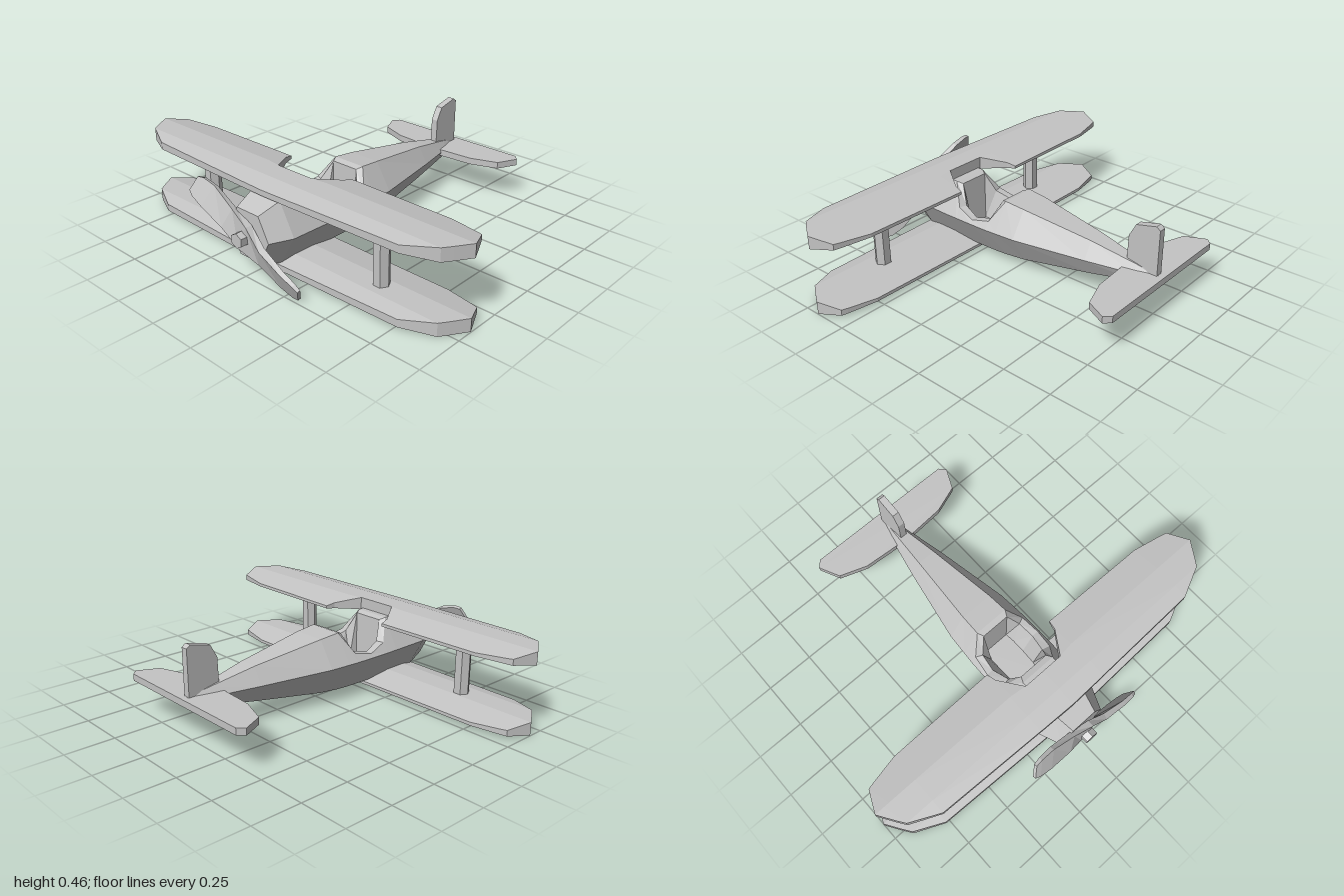
import * as THREE from 'three';

const grey = new THREE.MeshStandardMaterial({ color: 0xc4c4c4 });
grey.name = 'plain grey';

// Flat-shaded skin through closed loops of [x, y, z]; skip(k, i) leaves a face open
function loft(loops, { start = true, end = true, skip = () => false } = {}) {
  const out = [];
  const tri = (a, b, c) => out.push(...a, ...b, ...c);
  const n = loops[0].length;
  for (let k = 0; k < loops.length - 1; k++) {
    for (let i = 0; i < n; i++) {
      if (skip(k, i)) continue;
      const j = (i + 1) % n, p = loops[k], q = loops[k + 1];
      tri(p[i], p[j], q[j]);
      tri(p[i], q[j], q[i]);
    }
  }
  const last = loops[loops.length - 1];
  for (let i = 1; i < n - 1; i++) {
    if (start) tri(loops[0][0], loops[0][i + 1], loops[0][i]);
    if (end) tri(last[0], last[i], last[i + 1]);
  }
  const g = new THREE.BufferGeometry();
  g.setAttribute('position', new THREE.Float32BufferAttribute(out, 3));
  g.computeVertexNormals();
  return g;
}

function flat(geometry) {
  const g = geometry.toNonIndexed();
  g.computeVertexNormals();
  return g;
}

function part(name, geometry) {
  const m = new THREE.Mesh(geometry, grey);
  m.name = name;
  return m;
}

function plate(points, depth) {
  const shape = new THREE.Shape(points.map(([x, y]) => new THREE.Vector2(x, y)));
  return new THREE.ExtrudeGeometry(shape, { depth, bevelEnabled: false }).translate(0, 0, -depth / 2);
}

// Piecewise-linear lookup in [[z, y], ...] sorted by rising z
function lookup(table, z) {
  for (let i = 1; i < table.length; i++) {
    const [z0, y0] = table[i - 1], [z1, y1] = table[i];
    if (z <= z1 || i === table.length - 1) return y0 + (y1 - y0) * (z - z0) / (z1 - z0);
  }
}

// Wing: stations are [x, trailing z, leading z] for one half
function wing(stations) {
  const top = [[0.26, 0.377], [0.42, 0.41], [0.54, 0.41], [0.64, 0.388]];
  const bottom = [[0.26, 0.363], [0.42, 0.345], [0.54, 0.345], [0.64, 0.362]];
  const all = [...stations.map(([x, t, l]) => [-x, t, l]).reverse(), ...stations];
  const loops = all.map(([x, trail, lead]) => {
    const zs = [trail, 0.42, 0.54, lead].map(z => THREE.MathUtils.clamp(z, trail, lead));
    return [
      ...zs.map(z => [x, lookup(top, z), z]),
      ...zs.reverse().map(z => [x, lookup(bottom, z), z]),
    ];
  });
  return loft(loops, { start: false, end: false });
}

export function createModel() {
  const model = new THREE.Group();
  model.name = 'biplane';

  // Six-sided fuselage, tail to nose: z, bottom y, middle half-width, top half-width, top y
  const hull = [
    [-0.77, 0.185, 0.012, 0.008, 0.215],
    [-0.66, 0.15, 0.045, 0.023, 0.24],
    [-0.42, 0.11, 0.097, 0.048, 0.285],
    [-0.04, 0.055, 0.168, 0.085, 0.335],
    [0.07, 0.045, 0.176, 0.09, 0.345],
    [0.13, 0.042, 0.18, 0.155, 0.24],
    [0.23, 0.04, 0.182, 0.168, 0.22],
    [0.33, 0.04, 0.182, 0.152, 0.25],
    [0.4, 0.04, 0.182, 0.095, 0.355],
    [0.61, 0.045, 0.176, 0.092, 0.357],
    [0.72, 0.08, 0.13, 0.07, 0.315],
  ];
  const hullLoops = hull.map(([z, yb, w, t, yt]) => {
    const b = Math.min(w * 0.5, 0.09);
    return [[-b, yb, z], [b, yb, z], [w, 0.2, z], [t, yt, z], [-t, yt, z], [-w, 0.2, z]];
  });
  const cockpitSpan = k => k >= 4 && k < 8;
  model.add(part('fuselage', loft(hullLoops, { skip: (k, i) => i === 3 && cockpitSpan(k) })));

  // Cockpit: rim, sloping walls and floor
  const ring = half => [...half, ...half.map(([x, y, z]) => [-x, y, z]).reverse()];
  const outer = hull.slice(4, 9).reverse().map(([z, , , t, y]) => [t, y, z]);
  const inner = [[0.08, 0.345, 0.37], [0.112, 0.25, 0.32], [0.132, 0.22, 0.23], [0.122, 0.24, 0.145], [0.075, 0.335, 0.1]];
  const floor = [[0.065, 0.1, 0.355], [0.072, 0.1, 0.31], [0.075, 0.1, 0.23], [0.075, 0.1, 0.16], [0.07, 0.1, 0.11]];
  model.add(part('cockpit', loft([outer, inner, floor].map(ring), { start: false })));

  // Wings, the upper one notched above the cockpit
  const tip = [[0.77, 0.27, 0.61], [0.92, 0.302, 0.54], [0.95, 0.31, 0.497], [1, 0.42, 0.42]];
  model.add(part('upperWing', wing([[0, 0.43, 0.635], [0.11, 0.43, 0.632], [0.19, 0.31, 0.63], [0.2, 0.263, 0.629], ...tip])));
  const lower = part('lowerWing', wing([[0, 0.262, 0.635], ...tip]));
  lower.position.y = -0.343;
  model.add(lower);

  // Wing struts
  for (const side of [-1, 1]) {
    const strut = part(side > 0 ? 'leftStrut' : 'rightStrut',
      flat(new THREE.CylinderGeometry(0.04, 0.04, 0.31, 6)).rotateY(Math.PI / 2));
    strut.position.set(side * 0.56, 0.21, 0.465);
    model.add(strut);
  }

  // Tailplane and fin
  const edge = [[0.05, 0.597], [0.24, 0.61], [0.38, 0.66], [0.43, 0.765], [0.4, 0.797]];
  const outline = [...edge, ...edge.map(([x, y]) => [-x, y]).reverse()];
  const tailplane = part('tailplane', plate(outline, 0.034).rotateX(-Math.PI / 2));
  tailplane.position.y = 0.198;
  model.add(tailplane);
  model.add(part('fin', plate([
    [0.6, 0.21], [0.765, 0.2], [0.765, 0.445], [0.745, 0.46], [0.64, 0.435], [0.605, 0.37],
  ], 0.036).rotateY(Math.PI / 2)));

  // Propeller: two twisted blades and a hub; stations are distance, centre, half-chord, half-thickness, twist
  const propeller = new THREE.Group();
  propeller.name = 'propeller';
  const blade = [
    [0, 0, 0.07, 0.018, 0], [0.12, 0.01, 0.055, 0.016, 0.3],
    [0.265, 0.013, 0.062, 0.012, 0.4], [0.34, 0.005, 0.054, 0.01, 0.4], [0.372, 0, 0.04, 0.008, 0.4],
  ].map(([u, mid, w, t, a]) => [[-1, -1], [1, -1], [1, 1], [-1, 1]].map(([i, j]) => {
    const c = Math.cos(a), s = Math.sin(a);
    return [u, mid + i * w * c + j * t * s, -i * w * s + j * t * c];
  }));
  // Mirror the chord so the broad edge of the high blade is uppermost
  const bladeGeometry = loft(blade.map(l => l.map(([u, v, z]) => [u, -v, z]).reverse()), { start: false });
  for (const turn of [0, Math.PI]) {
    const b = part('propellerBlade', bladeGeometry);
    b.rotation.z = turn - 0.437;
    propeller.add(b);
  }
  const hub = part('propellerHub', flat(new THREE.CylinderGeometry(0.037, 0.037, 0.08, 6)).rotateX(Math.PI / 2));
  hub.position.z = 0.01;
  propeller.add(hub);
  propeller.position.set(0, 0.197, 0.742);
  model.add(propeller);

  return model;
}
